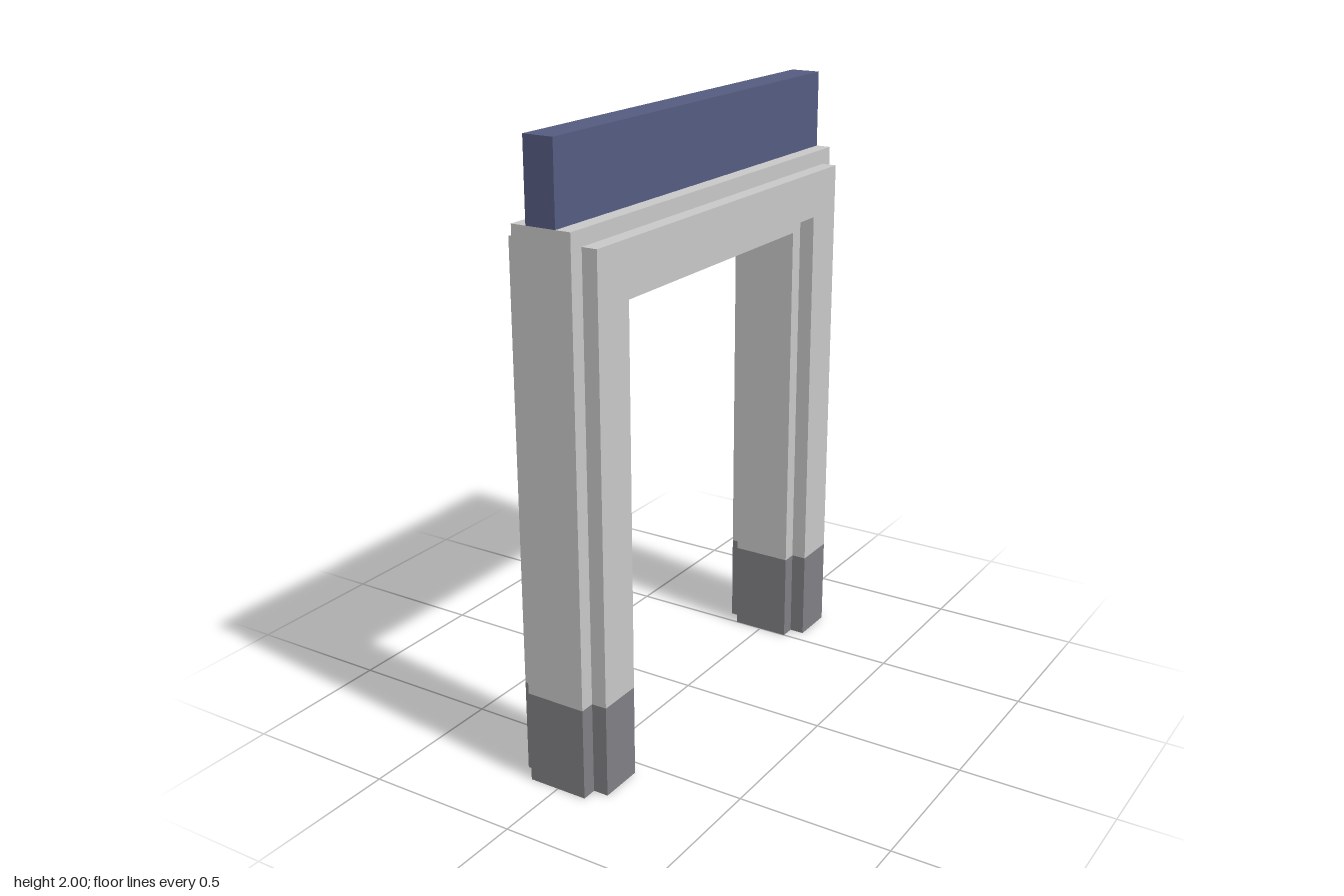
import * as THREE from 'three';

export function createModel() {
  const model = new THREE.Group();
  const material = (name, color) => {
    const m = new THREE.MeshStandardMaterial({ color });
    m.name = name;
    return m;
  };
  const stone = material('light grey', 0xc8c8c8);
  const plinth = material('dark grey', 0x808085);
  const blue = material('slate blue', 0x555b80);

  const add = (name, geometry, mat) => {
    const mesh = new THREE.Mesh(geometry, mat);
    mesh.name = name;
    model.add(mesh);
    return mesh;
  };
  const polygon = (points) => new THREE.Shape(points.map(([x, y]) => new THREE.Vector2(x, y)));
  const extrude = (shape, depth) => new THREE.ExtrudeGeometry(shape, { depth, bevelEnabled: false });

  const footTop = 0.3;

  // Upside-down U spanning z, extruded from x0 to x1
  const arch = (name, outer, inner, top, under, x0, x1) => {
    const shape = polygon([
      [-outer, footTop], [-inner, footTop], [-inner, under], [inner, under],
      [inner, footTop], [outer, footTop], [outer, top], [-outer, top],
    ]);
    const geometry = extrude(shape, x1 - x0).rotateY(Math.PI / 2).translate(x0, 0, 0);
    add(name, geometry, stone);
  };

  // Frame core with a narrower raised band on each side
  arch('archCore', 0.75, 0.5, 1.75, 1.5, -0.1, 0.1);
  arch('leftArchBand', 0.7, 0.55, 1.7, 1.55, 0.1, 0.15);
  arch('rightArchBand', 0.7, 0.55, 1.7, 1.55, -0.15, -0.1);

  // Feet continue the stepped cross-section; their end caps are blue
  const cross = polygon([
    [-0.1, -0.125], [0.1, -0.125], [0.1, -0.075], [0.15, -0.075],
    [0.15, 0.075], [0.1, 0.075], [0.1, 0.125], [-0.1, 0.125],
    [-0.1, 0.075], [-0.15, 0.075], [-0.15, -0.075], [-0.1, -0.075],
  ]);
  const footGeometry = extrude(cross, footTop).rotateX(-Math.PI / 2);
  for (const [name, z] of [['frontFoot', 0.625], ['backFoot', -0.625]]) {
    add(name, footGeometry, [blue, plinth]).position.z = z;
  }

  // Sign board standing along the top
  add('topBoard', new THREE.BoxGeometry(0.1, 0.25, 1.5), blue).position.y = 1.875;

  return model;
}
